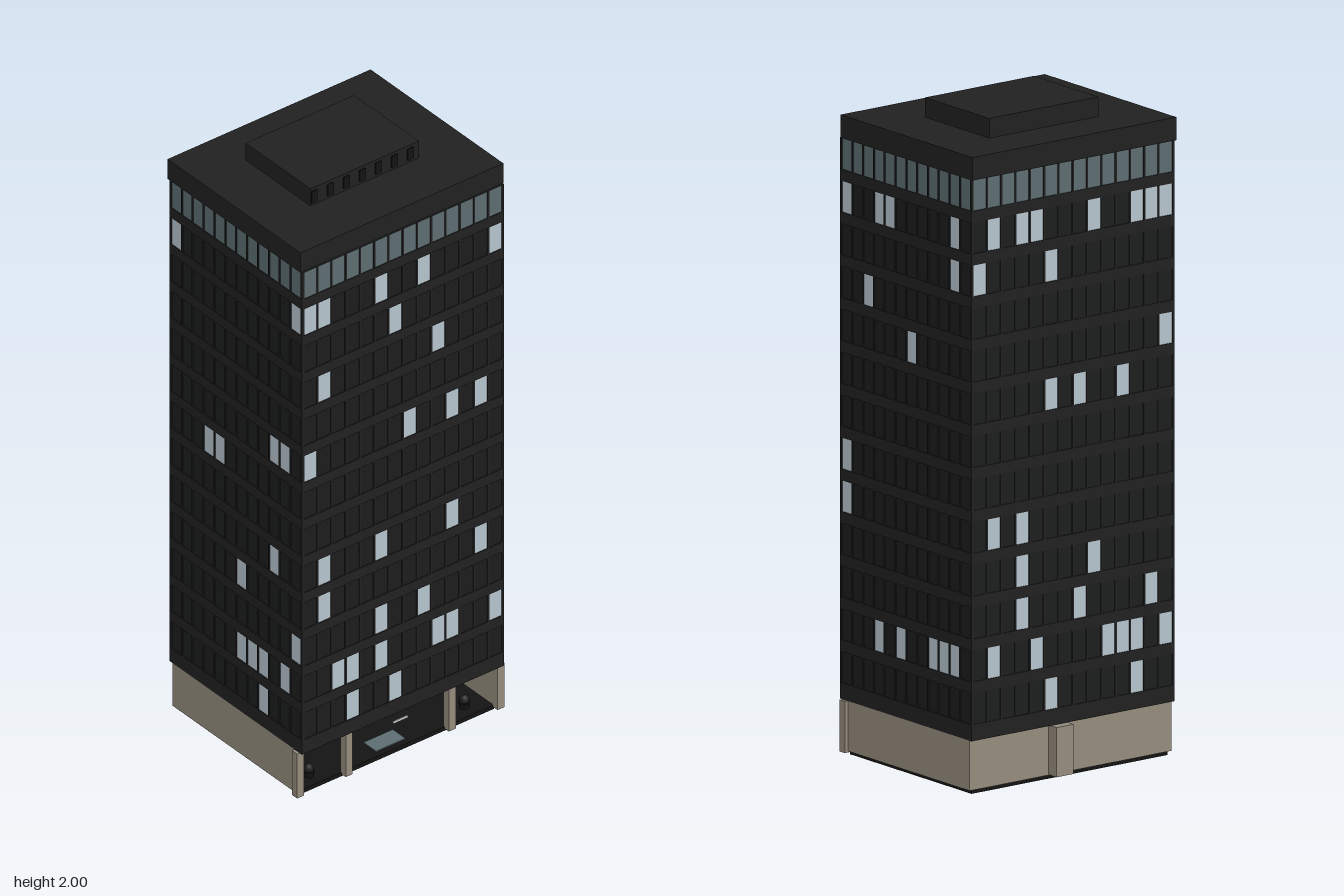
import * as THREE from 'three';
import { mergeGeometries } from 'three/addons/utils/BufferGeometryUtils.js';

const mat = (name, color) => {
  const m = new THREE.MeshStandardMaterial({ color });
  m.name = name;
  return m;
};

// Box geometry from its limits on each axis
function block(x0, x1, y0, y1, z0, z1) {
  const g = new THREE.BoxGeometry(x1 - x0, y1 - y0, z1 - z0);
  return g.translate((x0 + x1) / 2, (y0 + y1) / 2, (z0 + z1) / 2);
}

export function createModel() {
  const model = new THREE.Group();
  model.name = 'officeTower';
  const wall = mat('charcoalWall', 0x212121);
  const dark = mat('darkGlass', 0x1c1d1e);
  const lit = mat('litGlass', 0xb8c6cf);
  const band = mat('tealGlass', 0x5d6e73);
  const stone = mat('beigeStone', 0x958d7e);
  const black = mat('blackFloor', 0x141414);
  const white = mat('whiteTrim', 0xe4e4e4);

  const add = (parent, name, geos, material) => {
    const list = Array.isArray(geos) ? geos : [geos];
    const mesh = new THREE.Mesh(list.length > 1 ? mergeGeometries(list) : list[0], material);
    mesh.name = name;
    parent.add(mesh);
    return mesh;
  };

  // Tower core, sitting just behind the facade grid
  const X = 0.378, ZB = -0.302, ZF = 0.327, IN = 0.006;
  const Y0 = 0.165, Y1 = 1.87, ROW0 = 0.262, ROW = 0.13, PANE = 0.0475;
  add(model, 'towerCore', block(-X + IN, X - IN, Y0, Y1, ZB + IN, ZF - IN), wall);

  // Floor bands that wrap the tower between window rows
  const bands = [];
  for (let r = 0; r <= 13; r++) {
    const low = r === 0 ? Y0 : ROW0 + ROW * (r - 1) + PANE;
    const high = r === 13 ? Y1 : ROW0 + ROW * r - PANE;
    bands.push(block(-X, X, low, high, ZB, ZF));
  }
  add(model, 'floorBands', bands, wall);

  // Lit windows by row, columns counted from the left seen from outside
  const facades = [
    { name: 'front', turn: 0, cols: 14, pitch: 0.0533, lit: {
      0: [3, 6], 1: [2, 3, 5, 9, 10, 13], 2: [5, 8], 3: [1, 12], 4: [1, 5, 10],
      7: [0, 7, 10, 12], 9: [1, 9], 10: [6], 11: [0, 1, 5, 8, 13] } },
    { name: 'right', turn: 1, cols: 12, pitch: 0.0515, lit: {
      1: [3, 5, 8, 9, 10], 4: [0], 5: [0], 8: [6], 9: [2], 10: [10], 11: [0, 3, 4, 10] } },
    { name: 'back', turn: 2, cols: 14, pitch: 0.0533, lit: {
      0: [5, 11], 1: [1, 4, 9, 10, 11, 13], 2: [3, 7, 12], 3: [3, 8], 4: [1, 3],
      7: [5, 7, 10], 8: [13], 10: [0, 5], 11: [1, 3, 4, 8, 11, 12, 13] } },
    { name: 'left', turn: 3, cols: 12, pitch: 0.0515, lit: {
      0: [8], 1: [6, 7, 8, 10], 2: [11], 3: [6], 4: [9], 6: [3, 4], 7: [9, 10], 11: [0, 11] } },
  ];
  const zMid = (ZB + ZF) / 2, halfZ = (ZF - ZB) / 2;
  for (const f of facades) {
    const side = new THREE.Group();
    side.name = f.name + 'Facade';
    side.position.z = zMid;
    side.rotation.y = f.turn * Math.PI / 2;
    const half = f.turn % 2 ? halfZ : X;
    const out = f.turn % 2 ? X : halfZ;
    const panes = { dark: [], lit: [], band: [] }, mullions = [];
    for (let c = 0; c < f.cols; c++) {
      const x = (c - (f.cols - 1) / 2) * f.pitch;
      for (let r = 0; r <= 12; r++) {
        const y = ROW0 + ROW * r;
        const kind = r === 12 ? 'band' : (f.lit[r] || []).includes(c) ? 'lit' : 'dark';
        panes[kind].push(block(x - 0.0235, x + 0.0235, y - PANE, y + PANE, out - IN, out - 0.003));
      }
      if (c > 0) {
        const m = x - f.pitch / 2;
        mullions.push(block(m - 0.003, m + 0.003, Y0, Y1, out - IN, out - 0.0002));
      }
    }
    // Corner strips
    const edge = f.cols * f.pitch / 2 - 0.003;
    for (const s of [-1, 1])
      mullions.push(block(Math.min(s * edge, s * half), Math.max(s * edge, s * half), Y0, Y1, out - IN, out - 0.0002));
    add(side, 'unlitWindows', panes.dark, dark);
    add(side, 'litWindows', panes.lit, lit);
    add(side, 'topFloorWindows', panes.band, band);
    add(side, 'mullions', mullions, wall);
    model.add(side);
  }

  // Roof parapet block and plant room with front vents
  add(model, 'roofCap', block(-0.38, 0.38, Y1, 1.94, -0.308, 0.321), wall);
  add(model, 'plantRoom', block(-0.203, 0.203, 1.94, 2, -0.162, 0.145), wall);
  const vents = [];
  for (let i = 0; i < 7; i++) {
    const x = -0.19 + i * 0.06;
    vents.push(block(x - 0.011, x + 0.011, 1.95, 1.99, 0.145, 0.149));
  }
  add(model, 'roofVents', vents, black);

  // Ground floor: slab, stone walls on three sides, open front
  add(model, 'floorSlab', block(-0.365, 0.365, 0, 0.014, -0.285, 0.295), black);
  add(model, 'baseWalls', [
    block(-0.376, -0.364, 0.012, Y0, -0.29, 0.3),
    block(0.364, 0.376, 0.012, Y0, -0.29, 0.3),
    block(-0.364, 0.364, 0.012, Y0, -0.29, -0.278),
  ], stone);
  add(model, 'rearPilaster', block(0.02, 0.083, 0.014, Y0, -0.33, -0.29), stone);
  for (const x of [-0.375, -0.193, 0.193, 0.375])
    add(model, 'frontPillar', block(x - 0.013, x + 0.013, 0.008, Y0, 0.291, 0.316), stone);

  // Lobby core with two lift doors
  add(model, 'lobbyCore', block(-0.138, 0.138, 0.014, Y0, -0.278, -0.1), wall);
  for (const x of [-0.053, 0.05]) {
    add(model, 'liftFrame', [
      block(x - 0.029, x - 0.025, 0.014, 0.1, -0.1, -0.094),
      block(x + 0.025, x + 0.029, 0.014, 0.1, -0.1, -0.094),
      block(x - 0.029, x + 0.029, 0.097, 0.101, -0.1, -0.094),
      block(x - 0.012, x + 0.012, 0.107, 0.111, -0.1, -0.096),
    ], x < 0 ? white : stone);
  }
  add(model, 'liftDoor', block(0.025, 0.075, 0.014, 0.097, -0.1, -0.096), stone);
  add(model, 'liftButton', block(-0.004, 0.004, 0.046, 0.054, -0.1, -0.096), white);

  // Entrance mat and blank hanging sign
  add(model, 'entranceMat', block(-0.06, 0.05, 0.014, 0.017, 0.215, 0.275), band);
  add(model, 'signPlate', block(-0.027, 0.027, 0.122, 0.129, 0.312, 0.316), white);

  // Potted plants
  for (const x of [-0.293, 0.29]) {
    const plant = new THREE.Group();
    plant.name = 'pottedPlant';
    plant.position.set(x, 0.014, 0.25);
    add(plant, 'pot', new THREE.CylinderGeometry(0.018, 0.014, 0.02, 10).translate(0, 0.01, 0), black);
    add(plant, 'foliage', new THREE.IcosahedronGeometry(0.016, 1).translate(0, 0.028, 0), dark);
    model.add(plant);
  }
  return model;
}
